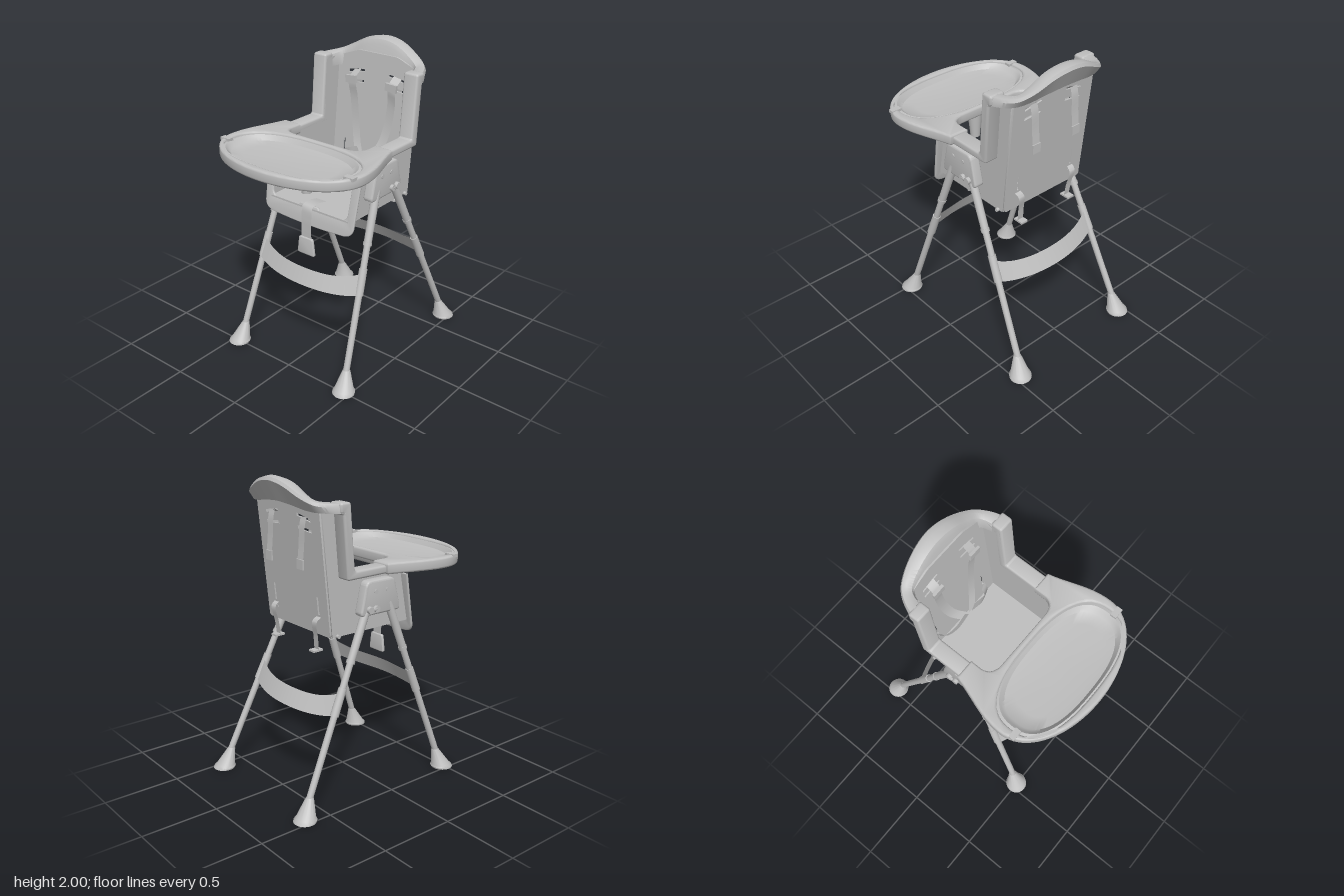
import * as THREE from 'three';
import { toCreasedNormals } from 'three/addons/utils/BufferGeometryUtils.js';

const V = (x, y, z) => new THREE.Vector3(x, y, z);
const curve = (pts) => new THREE.CatmullRomCurve3(pts.map((p) => V(...p)));

// Surface through a list of rails, each a list of Vector3 of equal length
function loft(rails) {
  const n = rails[0].length, pos = [], idx = [];
  rails.forEach((r) => r.forEach((p) => pos.push(p.x, p.y, p.z)));
  for (let i = 0; i < rails.length - 1; i++) {
    for (let j = 0; j < n - 1; j++) {
      const a = i * n + j, b = a + n;
      idx.push(a, b, a + 1, b, b + 1, a + 1);
    }
  }
  const g = new THREE.BufferGeometry();
  g.setAttribute('position', new THREE.Float32BufferAttribute(pos, 3));
  g.setIndex(idx);
  return toCreasedNormals(g, 0.7);
}

function extrude(shape, depth, bevel) {
  const g = new THREE.ExtrudeGeometry(shape, {
    depth: depth - 2 * bevel, bevelEnabled: bevel > 0, bevelSize: bevel, bevelThickness: bevel,
    bevelOffset: -bevel, bevelSegments: 3, curveSegments: 20,
  });
  g.translate(0, 0, bevel);
  return toCreasedNormals(g, 0.6);
}

// Polygon with rounded corners
function rounded(pts, r) {
  const s = new THREE.Shape(), v = pts.map((p) => new THREE.Vector2(...p)), n = v.length;
  v.forEach((p, i) => {
    const a = v[(i + n - 1) % n].clone().sub(p).setLength(r).add(p);
    const b = v[(i + 1) % n].clone().sub(p).setLength(r).add(p);
    if (i) s.lineTo(a.x, a.y); else s.moveTo(a.x, a.y);
    s.quadraticCurveTo(p.x, p.y, b.x, b.y);
  });
  s.closePath();
  return s;
}

// Side profile given as [z, y], extruded from x0 to x1
function sideSlab(pts, r, x0, x1, bevel) {
  const g = extrude(rounded(pts.map(([z, y]) => [-z, y]), r), x1 - x0, bevel);
  return g.rotateY(Math.PI / 2).translate(x0, 0, 0);
}

// Flat strap along a path, widened along a fixed direction
function strap(pts, width, dir) {
  const c = curve(pts).getPoints(16), d = V(...dir).setLength(width / 2);
  return loft([c.map((p) => p.clone().add(d)), c.map((p) => p.clone().sub(d))]);
}

function rod(a, b, ra, rb, seg = 18) {
  const A = V(...a), B = V(...b), d = B.clone().sub(A);
  const g = new THREE.CylinderGeometry(rb, ra, d.length(), seg);
  g.applyQuaternion(new THREE.Quaternion().setFromUnitVectors(V(0, 1, 0), d.normalize()));
  const m = A.add(B).multiplyScalar(0.5);
  return g.translate(m.x, m.y, m.z);
}

export function createModel() {
  const root = new THREE.Group();
  const grey = new THREE.MeshStandardMaterial({ color: 0xbfbfbf, side: THREE.DoubleSide });
  grey.name = 'light grey';
  const add = (name, g) => {
    const m = new THREE.Mesh(g, grey);
    m.name = name;
    root.add(m);
    return m;
  };
  const box = (name, w, h, d, x, y, z) => add(name, new THREE.BoxGeometry(w, h, d).translate(x, y, z));

  // Seat back with strap slots, leaning backwards
  const back = rounded([[-0.315, 1.05], [0.315, 1.05], [0.315, 1.84], [0.15, 1.9], [-0.15, 1.9], [-0.315, 1.84]], 0.02);
  const slot = (x, y, w, h, skew) => back.holes.push(new THREE.Path([[-1, -1], [1, -1], [1, 1], [-1, 1]].map(
    ([a, b]) => new THREE.Vector2(x + a * w / 2, y + b * h / 2 + a * skew))));
  for (const s of [-1, 1]) {
    slot(s * 0.16, 1.765, 0.13, 0.018, -s * 0.012);
    slot(s * 0.16, 1.695, 0.13, 0.018, -s * 0.006);
    slot(s * 0.222, 1.235, 0.014, 0.11, 0);
  }
  const backGeo = extrude(back, 0.012, 0);
  backGeo.applyMatrix4(new THREE.Matrix4().set(1, 0, 0, 0, 0, 1, 0, 0, 0, -0.1, 1, -0.245, 0, 0, 0, 1));
  add('seatBack', backGeo);
  box('seatFloor', 0.63, 0.018, 0.62, 0, 1.06, -0.03);

  // U-shaped front edge of the seat
  const u = new THREE.Shape();
  u.moveTo(-0.375, 1.37);
  u.lineTo(-0.36, 1.03);
  u.quadraticCurveTo(-0.355, 0.975, -0.29, 0.967);
  u.quadraticCurveTo(0, 0.945, 0.29, 0.967);
  u.quadraticCurveTo(0.355, 0.975, 0.36, 1.03);
  u.lineTo(0.375, 1.37);
  u.lineTo(0.315, 1.37);
  u.lineTo(0.305, 1.11);
  u.quadraticCurveTo(0.3, 1.065, 0.25, 1.062);
  u.lineTo(0.09, 1.062);
  u.lineTo(0.07, 1.085);
  u.lineTo(-0.07, 1.085);
  u.lineTo(-0.09, 1.062);
  u.lineTo(-0.25, 1.062);
  u.quadraticCurveTo(-0.3, 1.065, -0.305, 1.11);
  u.lineTo(-0.315, 1.37);
  u.closePath();
  const lip = extrude(u, 0.016, 0.006);
  lip.applyMatrix4(new THREE.Matrix4().set(1, 0, 0, 0, 0, 1, 0, 0, 0, -0.19, 1, 0.465, 0, 0, 0, 1));
  add('seatFrontEdge', lip);

  // Head rim: half stations mirrored across the middle, then lofted
  const xo = [0, 0.12, 0.25, 0.33, 0.385, 0.408], yt = [2, 1.98, 1.92, 1.885, 1.873, 1.87];
  const zo = [-0.555, -0.545, -0.515, -0.47, -0.39, -0.32];
  const xi = [0, 0.12, 0.23, 0.285, 0.305, 0.31], zi = [-0.445, -0.44, -0.43, -0.41, -0.36, -0.3];
  const drop = [0.15, 0.14, 0.1, 0.07, 0.06, 0.06], lean = [0.06, 0.06, 0.05, 0.03, 0.01, 0];
  const mix = (a, b, t) => a + (b - a) * t;
  const section = [
    (i) => [xi[i], 1.78, Math.max(zi[i], -0.412)],
    (i) => [xi[i], yt[i] - 0.045, zi[i]],
    (i) => [mix(xi[i], xo[i], 0.12), yt[i] - 0.015, mix(zi[i], zo[i], 0.15)],
    (i) => [mix(xi[i], xo[i], 0.5), yt[i], mix(zi[i], zo[i], 0.55)],
    (i) => [mix(xi[i], xo[i], 0.88), yt[i] - 0.006, mix(zi[i], zo[i], 0.9)],
    (i) => [xo[i], yt[i] - 0.025, zo[i]],
    (i) => [xo[i], yt[i] - drop[i], zo[i] + lean[i]],
  ];
  add('headRim', loft(section.map((f) => {
    const half = xo.map((_, i) => f(i));
    const left = half.slice(1).reverse().map(([x, y, z]) => [-x, y, z]);
    return curve([...left, ...half]).getPoints(50);
  })));

  for (const s of [-1, 1]) {
    const side = s > 0 ? 'left' : 'right';
    const slab = (name, pts, r, x0, x1, bevel) =>
      add(side + name, sideSlab(pts, r, s > 0 ? x0 : -x1, s > 0 ? x1 : -x0, bevel));
    // Side wall, arm rest and wing
    slab('SeatSide', [[0.275, 1.05], [0.21, 1.4], [0, 1.44], [-0.25, 1.44], [-0.28, 1.84], [-0.415, 1.85], [-0.338, 1.05]], 0.01, 0.308, 0.322, 0);
    slab('ArmAndWing', [[0.02, 1.41], [0.02, 1.462], [-0.235, 1.462], [-0.268, 1.872], [-0.345, 1.872], [-0.345, 1.81], [-0.325, 1.81], [-0.29, 1.41]], 0.018, 0.308, 0.412, 0.014);
    // Hip bracket with bolts and release knob
    slab('HipBracket', [[0.15, 1.16], [0.095, 1.375], [-0.125, 1.375], [-0.175, 1.16]], 0.035, 0.322, 0.39, 0.012);
    for (const [z, y, r, x] of [[0.037, 1.305, 0.014, 0.394], [-0.055, 1.305, 0.014, 0.394], [-0.058, 1.2, 0.02, 0.41], [-0.108, 1.2, 0.022, 0.412]])
      add(side + 'Bolt', rod([s * 0.37, y, z], [s * x, y, z], r, r, 16));
    add(side + 'KnobBar', rod([s * 0.4, 1.2, -0.058], [s * 0.4, 1.2, -0.108], 0.012, 0.012, 10));

    // Legs: upper sleeve, lower tube, collar and skewed conical foot
    for (const [name, z0, z1, zf] of [['Front', 0.08, 0.445, 0.495], ['Back', -0.125, -0.61, -0.66]]) {
      const at = (y) => {
        const t = (1.17 - y) / 1.04;
        return [s * mix(0.368, 0.44, t), y, mix(z0, z1, t)];
      };
      add(side + name + 'LegSleeve', rod(at(1.22), at(0.9), 0.027, 0.025));
      add(side + name + 'LegCollar', rod(at(0.91), at(0.89), 0.028, 0.028));
      add(side + name + 'LegTube', rod(at(0.9), at(0.1), 0.021, 0.021));
      add(side + name + 'LegClip', rod(at(0.75), at(0.59), 0.026, 0.027));
      const foot = new THREE.LatheGeometry([[0, 0], [0.072, 0], [0.072, 0.01], [0.062, 0.022], [0.027, 0.125], [0.022, 0.135], [0, 0.135]].map(
        (p) => new THREE.Vector2(...p)), 28);
      const k = (z1 - zf) / 0.13, kx = -s * 0.017 / 0.13;
      foot.applyMatrix4(new THREE.Matrix4().set(1, kx, 0, s * 0.457, 0, 1, 0, 0, 0, k, 1, zf, 0, 0, 0, 1));
      add(side + name + 'Foot', toCreasedNormals(foot, 0.7));
    }

    // Harness: shoulder and waist straps, slides, loose ends behind
    add(side + 'ShoulderStrap', strap([[s * 0.16, 1.77, -0.42], [s * 0.16, 1.72, -0.36], [s * 0.15, 1.6, -0.37], [s * 0.125, 1.42, -0.36], [s * 0.09, 1.3, -0.33], [s * 0.03, 1.22, -0.28]], 0.06, [1, -s * 0.25, 0]));
    const slide = box(side + 'StrapSlide', 0.085, 0.05, 0.018, 0, 0, 0);
    slide.position.set(s * 0.16, 1.72, -0.35);
    slide.rotation.z = -s * 0.08;
    add(side + 'WaistStrap', strap([[s * 0.222, 1.16, -0.36], [s * 0.2, 1.17, -0.31], [s * 0.13, 1.23, -0.27], [s * 0.03, 1.27, -0.27]], 0.07, [s * 0.5, 1, 0]));
    add(side + 'UpperStrapEnd', strap([[s * 0.16, 1.77, -0.42], [s * 0.16, 1.72, -0.432], [s * 0.16, 1.6, -0.44], [s * 0.16, 1.46, -0.455]], 0.055, [1, 0, 0]));
    box(side + 'UpperStrapStop', 0.06, 0.06, 0.01, s * 0.16, 1.49, -0.45);
    add(side + 'LowerStrapEnd', strap([[s * 0.222, 1.17, -0.355], [s * 0.215, 1.14, -0.39], [s * 0.205, 1.04, -0.375], [s * 0.2, 0.955, -0.365]], 0.045, [1, 0, 0]));
    box(side + 'LowerStrapStop', 0.05, 0.012, 0.07, s * 0.2, 0.952, -0.37);
    // Tray latch
    box(side + 'TrayLatch', 0.07, 0.02, 0.04, s * 0.485, 1.471, 0.48).rotation.y = 0;
  }
  add('underSeatRail', rod([-0.34, 1.055, -0.3], [0.34, 1.055, -0.3], 0.012, 0.012));

  // Crotch strap with buckle
  add('crotchStrap', strap([[0, 1.075, 0.15], [0, 1.09, 0.23], [0, 1.08, 0.285], [0, 1, 0.3], [0, 0.93, 0.302], [0, 0.86, 0.302]], 0.08, [1, 0, 0]));
  add('crotchBuckle', extrude(rounded([[-0.07, 0.75], [0.07, 0.75], [0.055, 0.87], [-0.055, 0.87]], 0.015), 0.02, 0.006).translate(0, 0, 0.293));

  // Bowed calf bands between the legs
  const band = (name, end, mid) => add(name, loft([0, 1].map((k) => {
    const pts = [];
    for (let i = -16; i <= 16; i++) {
      const t = i / 16, e = t * t;
      pts.push(V(t * [0.415, 0.425][k], mix([0.675, 0.57][k], [0.735, 0.6][k], e * e), mix(mid[k], end[k], e)));
    }
    return pts;
  })));
  band('frontBand', [0.25, 0.3], [0.345, 0.387]);
  band('backBand', [-0.345, -0.4], [-0.435, -0.492]);

  // Tray frame with an oval well
  const oval = (a, b, n) => Array.from({ length: n + 1 }, (_, i) => {
    const t = (i / n) * Math.PI * 2, f = (c) => Math.sign(c) * Math.abs(c) ** 0.8;
    return new THREE.Vector2(a * f(Math.cos(t)), 0.435 + b * f(Math.sin(t)));
  });
  const tray = new THREE.Shape();
  tray.moveTo(0.3, 0);
  tray.lineTo(0.43, 0);
  tray.bezierCurveTo(0.46, 0.14, 0.53, 0.25, 0.53, 0.4);
  tray.bezierCurveTo(0.53, 0.6, 0.28, 0.733, 0, 0.733);
  tray.bezierCurveTo(-0.28, 0.733, -0.53, 0.6, -0.53, 0.4);
  tray.bezierCurveTo(-0.53, 0.25, -0.46, 0.14, -0.43, 0);
  tray.lineTo(-0.3, 0);
  tray.lineTo(-0.3, 0.08);
  tray.quadraticCurveTo(-0.29, 0.155, -0.2, 0.155);
  tray.lineTo(0.2, 0.155);
  tray.quadraticCurveTo(0.29, 0.155, 0.3, 0.08);
  tray.closePath();
  tray.holes.push(new THREE.Path(oval(0.475, 0.245, 64)));
  add('trayFrame', extrude(tray, 0.07, 0.014).rotateX(Math.PI / 2).translate(0, 1.477, 0));
  const ring = (k, y) => oval(0.475 * k, 0.245 * k, 64).map((p) => V(p.x, y, 0.435 + (p.y - 0.435)));
  add('trayWell', loft([ring(1.01, 1.462), ring(0.96, 1.466), ring(0.93, 1.455), ring(0.88, 1.435), ring(0.7, 1.428), ring(0.001, 1.425)]));

  // Tray mount and tapered post underneath
  add('trayMount', sideSlab([[0.38, 1.415], [0.21, 1.415], [0.225, 1.362], [0.365, 1.362]], 0.01, -0.235, 0.235, 0.004));
  const post = new THREE.CylinderGeometry(0.05, 0.032, 0.19, 28).translate(0, 1.275, 0.293);
  add('trayPost', post);
  return root;
}
